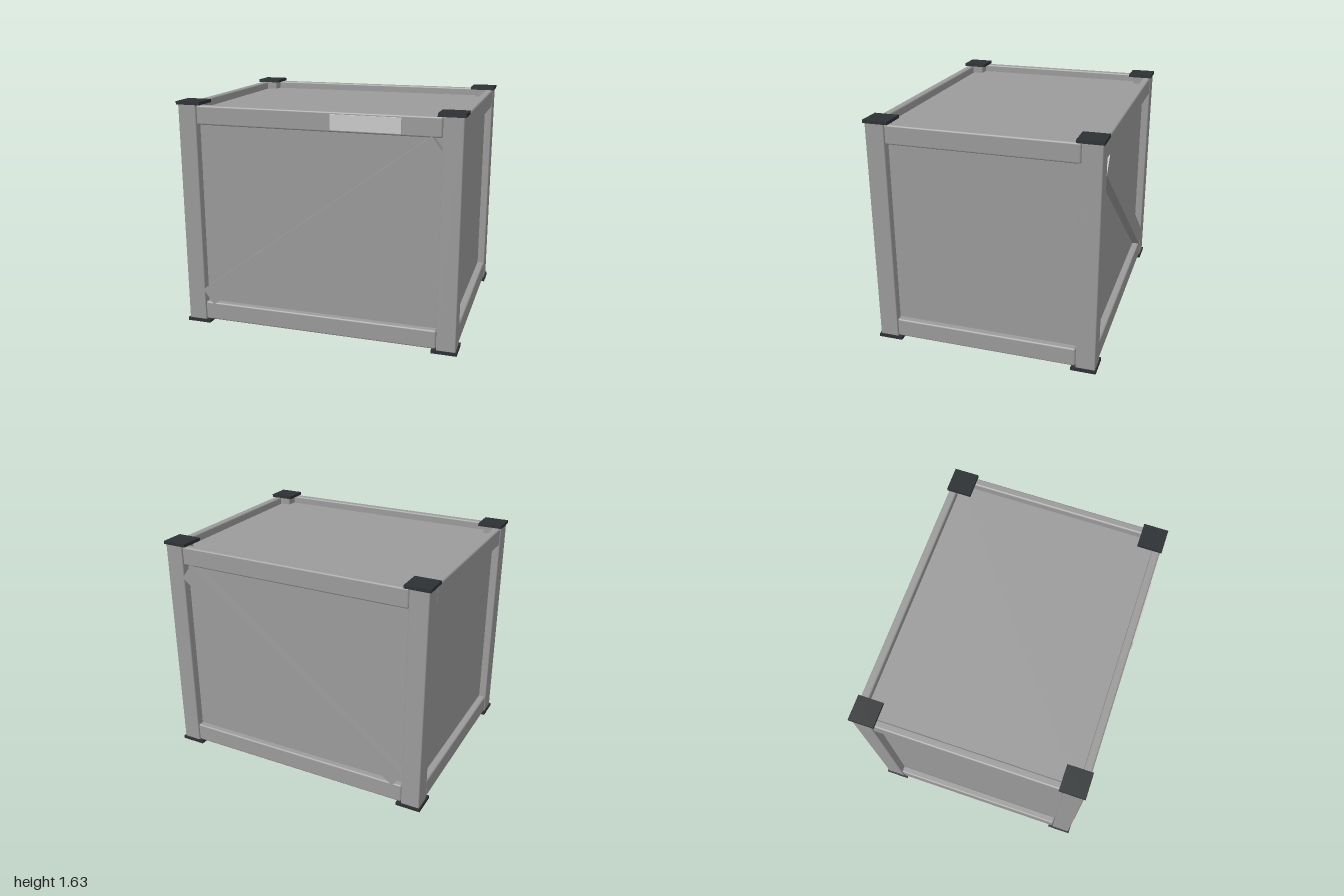
import * as THREE from 'three';
import { RoundedBoxGeometry } from 'three/addons/geometries/RoundedBoxGeometry.js';

const steel = new THREE.MeshStandardMaterial({ color: 0x9b9b9b });
const dark = new THREE.MeshStandardMaterial({ color: 0x2d3133 });
const pale = new THREE.MeshStandardMaterial({ color: 0xcccccc });

const HEIGHT = 1.63;
const CAP = 0.022;

// Box given by its size and centre, with softly rounded edges when radius > 0
function block(name, [w, h, d], [x, y, z], material = steel, radius = 0) {
  const geometry = radius
    ? new RoundedBoxGeometry(w, h, d, 2, radius)
    : new THREE.BoxGeometry(w, h, d);
  const mesh = new THREE.Mesh(geometry, material);
  mesh.name = name;
  mesh.position.set(x, y, z);
  return mesh;
}

export function createModel() {
  const crate = new THREE.Group();
  crate.name = 'crate';

  // Recessed panels on all six sides, as one closed body
  crate.add(block('panelBody', [1.87, 1.47, 1.468], [0, HEIGHT / 2, 0]));

  // Corner posts with dark square plates at both ends
  for (const sx of [-1, 1]) {
    for (const sz of [-1, 1]) {
      const corner = new THREE.Group();
      corner.name = 'corner';
      corner.add(
        block('post', [0.134, HEIGHT - 2 * CAP + 0.01, 0.136], [sx * 0.923, HEIGHT / 2, sz * 0.724], steel, 0.008),
        block('bottomPlate', [0.178, CAP, 0.176], [sx * 0.911, CAP / 2, sz * 0.712], dark),
        block('topPlate', [0.178, CAP, 0.176], [sx * 0.911, HEIGHT - CAP / 2, sz * 0.712], dark),
      );
      crate.add(corner);
    }
  }

  // Horizontal rails between the posts, at the bottom and the top
  for (const y of [0.094, HEIGHT - 0.091]) {
    for (const s of [-1, 1]) {
      crate.add(
        block('longRail', [1.708, 0.134, 0.056], [0, y, s * 0.761], steel, 0.012),
        block('sideRail', [0.056, 0.134, 1.308], [s * 0.96, y, 0], steel, 0.012),
      );
    }
  }

  // Diagonal braces on the front and back, their ends running into the frame
  for (const s of [-1, 1]) {
    const brace = block('diagonalBrace', [2.06, 0.136, 0.064], [0, HEIGHT / 2, s * 0.762]);
    brace.rotation.z = Math.atan2(1.215, 1.64);
    crate.add(brace);
  }

  // Blank label plate on the front top rail
  crate.add(block('labelPlate', [0.476, 0.104, 0.012], [0.353, 1.539, 0.793], pale));

  return crate;
}
